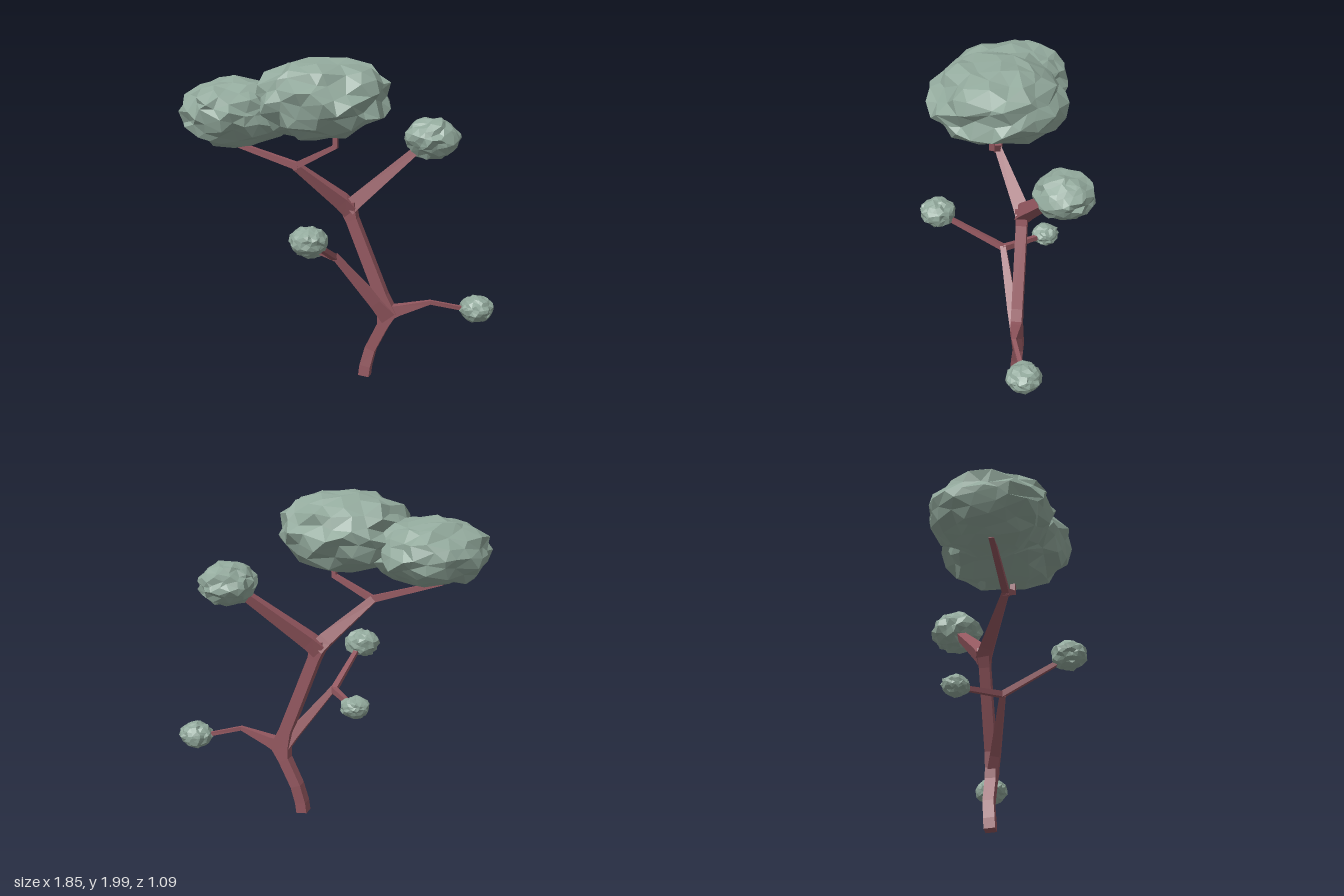
import * as THREE from 'three';
import { mergeVertices } from 'three/addons/utils/BufferGeometryUtils.js';

const bark = new THREE.MeshStandardMaterial({ color: 0x93575f, flatShading: true });
bark.name = 'bark';
const leaf = new THREE.MeshStandardMaterial({ color: 0x92a99c, flatShading: true });
leaf.name = 'leaves';

// Rectangular limb swept through points [x, y, z, width, depth = width]
function limb(name, points) {
  const p = points.map(([x, y, z]) => new THREE.Vector3(x, y, z));
  const dir = (i) => p[i + 1].clone().sub(p[i]).normalize();
  const front = new THREE.Vector3(0, 0, 1);
  const pos = [], index = [];
  p.forEach((c, i) => {
    const t = dir(Math.max(i - 1, 0)).add(dir(Math.min(i, p.length - 2))).normalize();
    const u = t.clone().cross(front).normalize();
    const v = t.clone().cross(u);
    const w = points[i][3] / 2, d = (points[i][4] ?? points[i][3]) / 2;
    for (const [a, b] of [[1, 1], [-1, 1], [-1, -1], [1, -1]]) {
      pos.push(...c.clone().addScaledVector(u, a * w).addScaledVector(v, b * d).toArray());
    }
  });
  for (let i = 0; i < p.length - 1; i++) {
    for (let j = 0; j < 4; j++) {
      const a = i * 4 + j, b = i * 4 + (j + 1) % 4;
      index.push(a, b, b + 4, a, b + 4, a + 4);
    }
  }
  const e = (p.length - 1) * 4;
  index.push(0, 2, 1, 0, 3, 2, e, e + 1, e + 2, e, e + 2, e + 3);
  const g = new THREE.BufferGeometry();
  g.setAttribute('position', new THREE.Float32BufferAttribute(pos, 3));
  g.setIndex(index);
  const flat = g.toNonIndexed();
  flat.computeVertexNormals();
  const mesh = new THREE.Mesh(flat, bark);
  mesh.name = name;
  return mesh;
}

// Crumpled low-poly foliage ball with a centre and half sizes
function foliage(name, centre, half, seed) {
  let s = seed * 7919;
  const rand = () => (s = (s * 16807) % 2147483647) / 2147483647 - 0.5;
  for (let i = 0; i < 5; i++) rand();
  let g = new THREE.IcosahedronGeometry(1, 3);
  g.deleteAttribute('normal');
  g.deleteAttribute('uv');
  g.rotateY(seed * 1.3);
  g = mergeVertices(g, 1e-3);
  const a = g.attributes.position, v = new THREE.Vector3();
  for (let i = 0; i < a.count; i++) {
    v.fromBufferAttribute(a, i);
    a.setXYZ(i, v.x + rand() * 0.19, v.y + rand() * 0.19, v.z + rand() * 0.19);
  }
  g.scale(...half);
  g.translate(...centre);
  g = g.toNonIndexed();
  g.computeVertexNormals();
  const mesh = new THREE.Mesh(g, leaf);
  mesh.name = name;
  return mesh;
}

export function createModel() {
  const tree = new THREE.Group();
  tree.name = 'tree';
  tree.add(
    // Trunk, flared at both forks
    limb('trunk', [[0.153, 0.006, -0.076, 0.068], [0.16, 0.07, -0.08, 0.068], [0.187, 0.18, -0.092, 0.066],
      [0.265, 0.34, -0.094, 0.068], [0.295, 0.42, -0.094, 0.12, 0.066],
      [0.255, 0.53, -0.094, 0.075, 0.066], [0.066, 1.0, -0.094, 0.07, 0.066],
      [0.045, 1.06, -0.094, 0.09, 0.07], [0.045, 1.11, -0.094, 0.08, 0.08]]),
    // Low branch on the left
    limb('lowLeftBranch', [[0.28, 0.42, -0.094, 0.1, 0.066], [0.37, 0.45, -0.097, 0.062],
      [0.555, 0.51, -0.11, 0.025], [0.8, 0.455, -0.195, 0.024]]),
    // Low branch on the right with its two twigs
    limb('lowRightBranch', [[0.3, 0.4, -0.092, 0.1, 0.066], [0.225, 0.495, -0.06, 0.07, 0.06],
      [-0.01, 0.795, 0.03, 0.034]]),
    limb('frontTwig', [[-0.01, 0.78, 0.02, 0.036], [-0.035, 0.98, 0.42, 0.026]]),
    limb('backTwig', [[0.0, 0.785, 0.035, 0.036], [-0.22, 0.76, -0.2, 0.026]]),
    // Upper fork
    limb('upperLeftBranch', [[0.035, 1.06, -0.094, 0.09], [0.09, 1.115, -0.125, 0.085], [0.46, 1.455, -0.36, 0.045]]),
    limb('upperRightBranch', [[0.05, 1.06, -0.1, 0.09], [0.005, 1.115, -0.07, 0.085], [-0.235, 1.35, 0.09, 0.044]]),
    limb('crownTwig', [[-0.25, 1.34, 0.09, 0.04], [0.012, 1.475, 0.09, 0.032], [0.015, 1.62, 0.09, 0.03]]),
    limb('sideCrownTwig', [[-0.215, 1.345, 0.09, 0.042], [-0.655, 1.475, 0.085, 0.032], [-0.67, 1.56, 0.085, 0.03]]),
    // Foliage
    foliage('crownFoliage', [-0.07, 1.757, 0.065], [0.387, 0.237, 0.387], 1),
    foliage('sideCrownFoliage', [-0.598, 1.66, 0.065], [0.326, 0.199, 0.363], 2),
    foliage('upperLeftFoliage', [0.493, 1.475, -0.375], [0.165, 0.126, 0.167], 3),
    foliage('lowLeftFoliage', [0.825, 0.465, -0.2], [0.102, 0.08, 0.102], 4),
    foliage('frontFoliage', [-0.042, 0.99, 0.437], [0.108, 0.084, 0.107], 5),
    foliage('backFoliage', [-0.235, 0.762, -0.208], [0.084, 0.064, 0.082], 6),
  );
  return tree;
}
